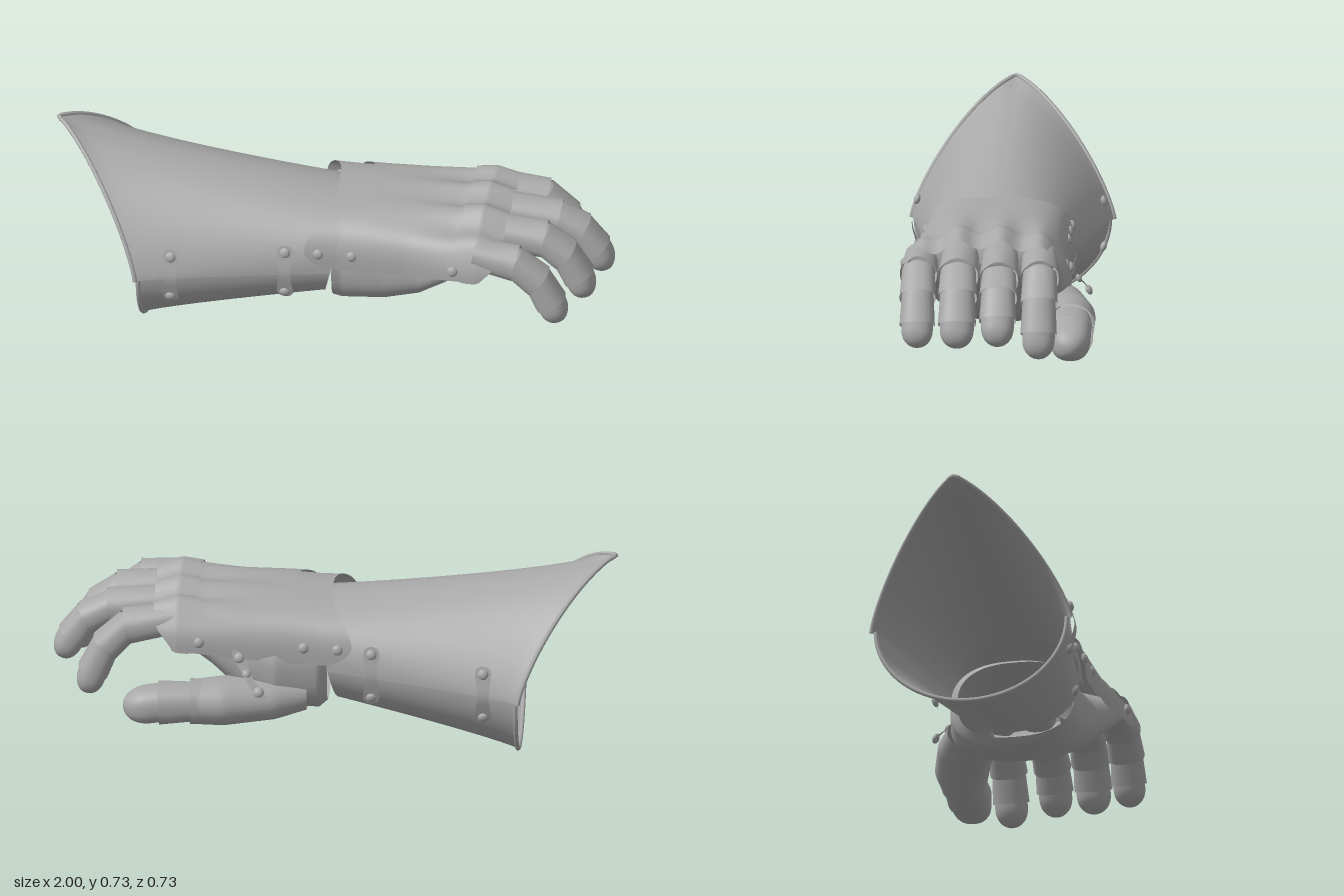
import * as THREE from 'three';
import { mergeVertices } from 'three/addons/utils/BufferGeometryUtils.js';

const steel = new THREE.MeshStandardMaterial({ color: 0xa8a8a8, side: THREE.DoubleSide });
steel.name = 'steel grey';
const V = (x, y, z) => new THREE.Vector3(x, y, z);
const { lerp } = THREE.MathUtils;

// Smooth grid surface from f(u, v) -> Vector3
function surface(f, nu, nv) {
  const pos = [], index = [];
  for (let i = 0; i <= nu; i++) for (let j = 0; j <= nv; j++) {
    const p = f(i / nu, j / nv);
    pos.push(p.x, p.y, p.z);
    if (i < nu && j < nv) {
      const a = i * (nv + 1) + j, b = a + nv + 1;
      index.push(a, a + 1, b, b, a + 1, b + 1);
    }
  }
  let g = new THREE.BufferGeometry();
  g.setAttribute('position', new THREE.Float32BufferAttribute(pos, 3));
  g.setIndex(index);
  g = mergeVertices(g, 1e-5);
  g.computeVertexNormals();
  return g;
}

// Linear lookup in rows of [x, ...values]
function row(table, x) {
  let i = 0;
  while (i < table.length - 2 && x > table[i + 1][0]) i++;
  const k = THREE.MathUtils.clamp((x - table[i][0]) / (table[i + 1][0] - table[i][0]), 0, 1);
  return table[i].map((a, n) => lerp(a, table[i + 1][n], k));
}
const pw = (v, e) => Math.sign(v) * Math.abs(v) ** e;

// Forearm cuff halves: u from flared edge to wrist, v across
function cuffTop(u, v) {
  const t = v * 2 - 1, s = Math.sin(t * Math.PI / 2), q = Math.abs(s);
  const c = Math.max(0, Math.cos(t * Math.PI / 2));
  const e = u ** (0.65 + 0.2 * Math.abs(t));
  return V(lerp(-0.993 + 0.33 * q, 0.02, u),
    lerp(0.295 + 0.43 * Math.max(0, 1 - q ** 1.5) ** 0.75, 0.345 + 0.205 * c ** 0.8, e),
    lerp(0.358 * s, 0.03 + 0.24 * s, e));
}
function cuffBottom(u, v) {
  const a = (v * 2 - 1) * Math.PI / 2, s = Math.sin(a), c = Math.cos(a), e = u ** 0.88;
  return V(lerp(-0.655, 0.02 - 0.04 * c, u), lerp(0.3 - 0.292 * c, 0.355 - 0.185 * c, e),
    lerp(0.343 * s, 0.03 + 0.23 * s, e));
}

// Back of hand: x, centre z, half width, side y, top y, ridge height
const handRows = [
  [-0.08, 0.03, 0.258, 0.38, 0.557, 0], [0.05, 0.03, 0.25, 0.375, 0.561, 0],
  [0.15, 0.035, 0.25, 0.38, 0.565, 0], [0.3, 0.04, 0.255, 0.39, 0.567, 0.003],
  [0.46, 0.055, 0.272, 0.41, 0.568, 0.012], [0.55, 0.06, 0.276, 0.415, 0.58, 0.016],
  [0.64, 0.065, 0.262, 0.45, 0.55, 0.018]];
// start and end give x from t (angle share) and q (width share), both 0 in the middle
function handPlate(start, end, offset) {
  return surface((u, v) => {
    const t = v * 2 - 1, a = t * Math.PI / 2, q = pw(Math.sin(a), 0.67);
    const x = lerp(start(Math.abs(t), Math.abs(q)), end(Math.abs(t)), u);
    const [, zc, w, yb, yt, ridge] = row(handRows, x);
    const c = Math.max(0, Math.cos(a)), z = zc + (w + offset) * q;
    const y = yb + (yt + offset - yb) * c ** 0.67;
    const bump = Math.cos(2 * Math.PI * z / 0.147) - Math.max(0, z - 0.18) * 12;
    return V(x, y + ridge * bump * c ** 0.4, z);
  }, 20, 96);
}
// Rounded lower corner of a plate
const lobe = t => 0.08 * (1 - Math.sqrt(1 - Math.min(1, Math.max(0, t - 0.84) / 0.16) ** 2));

// Palm: x, centre z, half width, bottom y, top y
const palmRows = [
  [0.02, 0.03, 0.21, 0.17, 0.46], [0.05, 0.01, 0.22, 0.15, 0.48], [0.2, 0, 0.24, 0.165, 0.5],
  [0.33, 0.02, 0.24, 0.22, 0.5], [0.43, 0.05, 0.26, 0.32, 0.52], [0.52, 0.06, 0.26, 0.39, 0.55],
  [0.6, 0.065, 0.25, 0.44, 0.555], [0.61, 0.065, 0.002, 0.495, 0.497]];

// Overlapping plated segments along a path, the last one ending in a dome
function digit(name, pts, hw, hh, ridge) {
  const g = new THREE.Group();
  g.name = name;
  for (let i = 0; i < pts.length - 1; i++) {
    const last = i === pts.length - 2;
    const d = pts[i + 1].clone().sub(pts[i]), len = d.length();
    d.normalize();
    const side = d.clone().cross(V(0, 1, 0)).normalize(), up = side.clone().cross(d);
    const k = 1 - 0.025 * i;
    const geo = surface((u, v) => {
      const s = last ? Math.sin(u * Math.PI / 2) : u;
      let r = last ? 0.97 * Math.sqrt(Math.max(0, 1 - (Math.max(0, s - 0.35) / 0.65) ** 2.2))
        : lerp(0.95, 1.06, u);
      r *= k;
      const a = v * 2 * Math.PI, c = Math.cos(a), n = Math.sin(a);
      const peak = 1 + (i > 0 ? 0 : ridge * u * Math.max(0, n) ** 8);
      return pts[i].clone().addScaledVector(d, lerp(-0.02, len, s))
        .addScaledVector(side, hw * r * pw(c, 0.85))
        .addScaledVector(up, hh * r * peak * pw(n, 0.85));
    }, last ? 16 : 8, 36);
    const m = new THREE.Mesh(geo, steel);
    m.name = last ? 'tipPlate' : 'jointPlate';
    g.add(m);
    // Filler under the joint
    if (i > 0) {
      const ball = new THREE.Mesh(new THREE.SphereGeometry(0.96 * k, 20, 14), steel);
      ball.scale.set(hh, hh, hw);
      ball.position.copy(pts[i]);
      ball.name = 'joint';
      g.add(ball);
    }
  }
  return g;
}

export function createModel() {
  const model = new THREE.Group();
  model.name = 'gauntlet';
  const add = (name, geo) => {
    const m = new THREE.Mesh(geo, steel);
    m.name = name;
    model.add(m);
    return m;
  };
  const rivet = (p, normal, r = 0.019) => {
    const m = add('rivet', new THREE.SphereGeometry(r, 14, 10));
    m.scale.z = 0.6;
    m.position.copy(p);
    m.quaternion.setFromUnitVectors(V(0, 0, 1), normal.clone().normalize());
  };
  // Flat strap along a curve, waisted in the middle, with rounded ends
  const strap = (name, pts, across, width) => {
    const curve = new THREE.CatmullRomCurve3(pts);
    add(name, surface((u, v) => {
      const end = Math.min(1, Math.min(u, 1 - u) / 0.14);
      const w = width * (0.65 + 0.35 * Math.abs(Math.cos(u * Math.PI))) * Math.sqrt(1 - (1 - end) ** 2);
      return curve.getPoint(u).addScaledVector(across, (v - 0.5) * w);
    }, 40, 2));
  };

  // Cuff with rolled edges
  for (const [name, f] of [['upperCuff', cuffTop], ['lowerCuff', cuffBottom]]) {
    add(name, surface(f, 28, 64));
    const edge = Array.from({ length: 41 }, (_, i) => f(0, i / 40));
    add(name + 'Rim', new THREE.TubeGeometry(new THREE.CatmullRomCurve3(edge), 80, 0.008, 8));
  }

  // Cuff straps on both sides
  for (const s of [1, -1]) for (const [x, zc, w, y] of [[-0.54, 0.004, 0.335, 0.315], [-0.14, 0.024, 0.258, 0.34]]) {
    const at = (dy, k) => V(x, y + dy, zc + s * w * k);
    strap('cuffStrap', [at(0.11, 0.955), at(0.06, 1), at(0, 1.04), at(-0.06, 1), at(-0.11, 0.945)], V(1, 0, 0), 0.06);
    rivet(at(0.082, 0.985), V(0, 0.3, s));
    rivet(at(-0.085, 0.98), V(0, -0.35, s));
  }

  // Wrist, hand and knuckle plates
  add('wristPlate', handPlate((t, q) => 0.01 - 0.085 * q ** 3 + lobe(t), () => 0.2, 0.004));
  add('handBackPlate', handPlate((t, q) => 0.15 - 0.115 * q ** 2.5 + lobe(t), () => 0.52, 0.011));
  add('knucklePlate', handPlate(t => 0.48 - 0.05 * t ** 4 + lobe(t), t => 0.635 - 0.07 * t ** 6, 0.018));
  for (const [x, y, z1, z2] of [[-0.02, 0.435, 0.286, -0.226], [0.1, 0.44, 0.289, -0.225], [0.47, 0.455, 0.345, -0.23]]) {
    rivet(V(x, y, z1), V(0, 0.2, 1));
    rivet(V(x, y, z2), V(0, 0.2, -1));
  }

  // Palm
  add('palm', surface((u, v) => {
    const x = lerp(0.02, 0.61, u), a = v * 2 * Math.PI;
    const [, zc, w, y0, y1] = row(palmRows, x);
    return V(x, (y0 + y1) / 2 + (y1 - y0) / 2 * pw(Math.sin(a), 0.8), zc + w * pw(Math.cos(a), 0.8));
  }, 59, 48));

  // Fingers: z, half width, then path as x, y pairs
  const fingers = [
    ['indexFinger', -0.145, 0.064, [0.57, 0.507, 0.73, 0.475, 0.805, 0.4, 0.848, 0.305, 0.872, 0.22]],
    ['middleFinger', -0.003, 0.065, [0.57, 0.517, 0.8, 0.487, 0.88, 0.445, 0.93, 0.375, 0.97, 0.293]],
    ['ringFinger', 0.142, 0.067, [0.57, 0.517, 0.77, 0.492, 0.845, 0.435, 0.892, 0.35, 0.92, 0.27]],
    ['littleFinger', 0.285, 0.062, [0.56, 0.495, 0.69, 0.475, 0.77, 0.41, 0.815, 0.325, 0.845, 0.25]]];
  for (const [name, z, hw, p] of fingers) {
    const pts = [0, 2, 4, 6, 8].map(i => V(p[i], p[i + 1], i ? z : z * 0.97 + 0.002));
    model.add(digit(name, pts, hw, 0.056, 0.2));
  }

  // Thumb with its broad base plate growing out of the palm
  model.add(digit('thumb', [V(0.36, 0.235, -0.24), V(0.5, 0.235, -0.248),
    V(0.61, 0.23, -0.25), V(0.737, 0.21, -0.25)], 0.077, 0.072, 0.1));
  const baseRows = [[0.09, 0.24, -0.15, 0.08, 0.06], [0.2, 0.235, -0.18, 0.105, 0.078],
    [0.38, 0.235, -0.23, 0.1, 0.086], [0.47, 0.235, -0.243, 0.087, 0.08]];
  add('thumbBasePlate', surface((u, v) => {
    const a = v * 2 * Math.PI, x = lerp(0.09, 0.47, u);
    const [, y, z, w, h] = row(baseRows, x);
    return V(x, y + h * Math.sin(a), z + w * Math.cos(a));
  }, 24, 36));

  // Thumb hinge
  strap('thumbHinge', [V(0.335, 0.43, -0.232), V(0.31, 0.37, -0.256), V(0.28, 0.33, -0.288), V(0.235, 0.275, -0.308)],
    V(0.9, 0.43, 0), 0.06);
  rivet(V(0.327, 0.405, -0.242), V(0, 0.4, -1));
  rivet(V(0.3, 0.355, -0.268), V(0, 0.6, -1), 0.016);
  rivet(V(0.255, 0.3, -0.302), V(0, 0.5, -1));
  return model;
}
